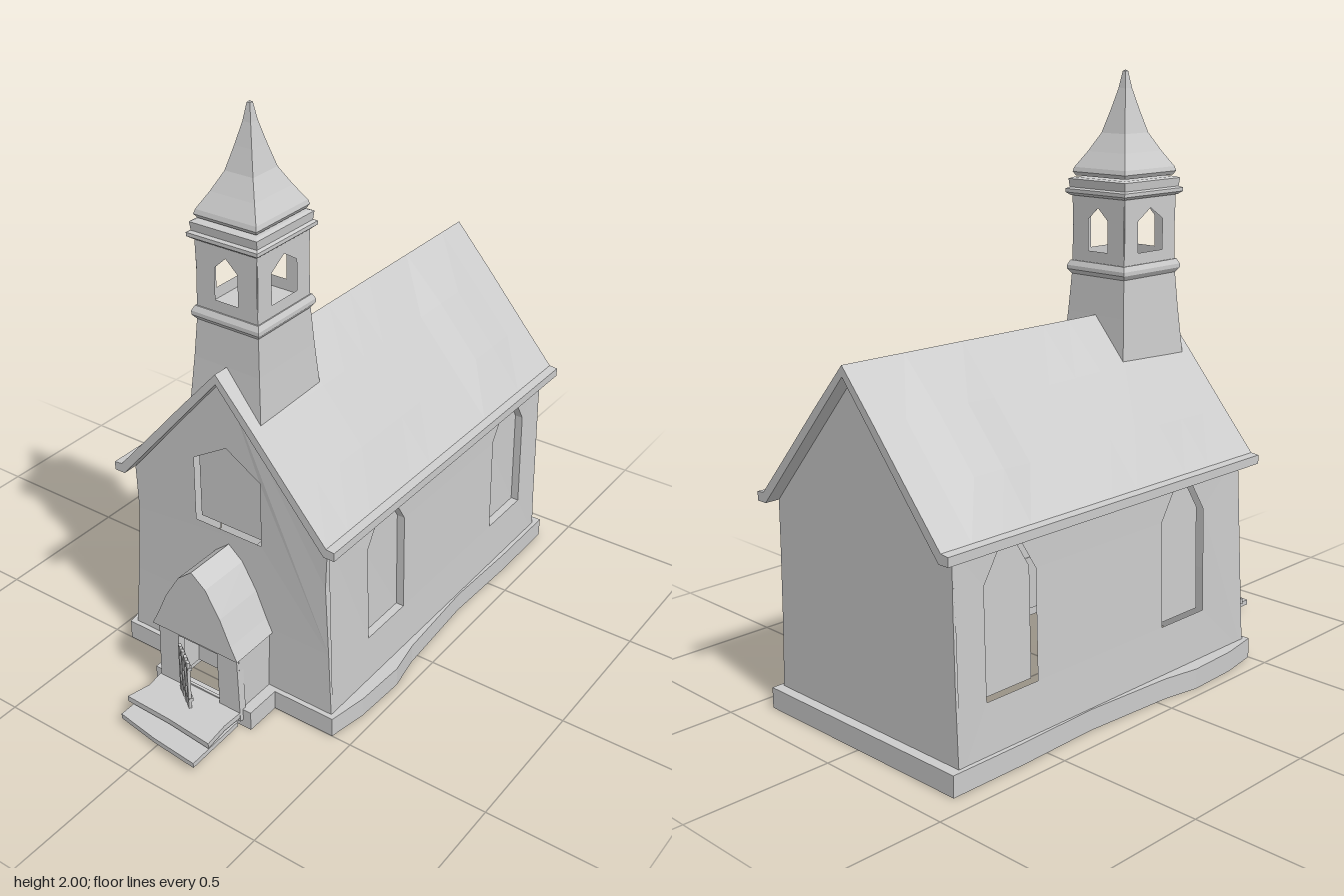
import * as THREE from 'three';

const solid = new THREE.MeshStandardMaterial({ color: 0xcccccc, flatShading: true });
const thin = new THREE.MeshStandardMaterial({ color: 0xcccccc, flatShading: true, side: THREE.DoubleSide });

const poly = (pts) => new THREE.Shape(pts.map(([x, y]) => new THREE.Vector2(x, y)));
// Right half of an outline, top to bottom, completed by its mirror image
const mirrored = (half) => [...half, ...half.filter(([x]) => x !== 0).map(([x, y]) => [-x, y]).reverse()];

function extrude(pts, depth, holes = [], steps = 1) {
  const shape = poly(pts);
  shape.holes = holes.map(poly);
  return new THREE.ExtrudeGeometry(shape, { depth, steps, bevelEnabled: false });
}

// Slab with an outline in plan (x, z), from height y0 to y1
function planSlab(pts, y0, y1, holes = []) {
  const flip = (list) => list.map(([x, z]) => [x, -z]);
  return extrude(flip(pts), y1 - y0, holes.map(flip)).rotateX(-Math.PI / 2).translate(0, y0, 0);
}

function moveVertices(geo, rule) {
  const p = geo.attributes.position;
  const v = new THREE.Vector3();
  for (let i = 0; i < p.count; i++) {
    rule(v.fromBufferAttribute(p, i));
    p.setXYZ(i, v.x, v.y, v.z);
  }
  geo.computeVertexNormals();
  return geo;
}

// Crooked walls: flared feet, pinched front corners
const warp = (geo) => moveVertices(geo, (v) => {
  const foot = Math.max(0, 1 - v.y / 0.7) ** 2;
  const pinch = v.z > 0.4 && Math.abs(v.x) > 0.3 ? Math.max(0, 1 - Math.abs(v.y - 0.55) / 0.45) : 0;
  v.x *= 1 + 0.045 * foot - 0.05 * pinch;
  if (v.z > 0.4) v.z += 0.015 * foot;
});

// Square tower section turned from a [half width, height] profile
function squareLathe(profile) {
  const pts = profile.map(([r, y]) => new THREE.Vector2(r * Math.SQRT2, y));
  const geo = new THREE.LatheGeometry(pts, 4, Math.PI / 4).toNonIndexed();
  geo.computeVertexNormals();
  return geo.scale(1, 1, 1.12);
}

export function createModel() {
  const model = new THREE.Group();
  const add = (name, geo, mat = solid, parent = model) => {
    const mesh = new THREE.Mesh(geo, mat);
    mesh.name = name;
    parent.add(mesh);
    return mesh;
  };

  // Foundation ring, bulging beside the tower and stepping out round the porch
  add('foundation', planSlab(
    mirrored([[0.2, 0.63], [0.2, 0.5], [0.43, 0.5], [0.455, 0.36], [0.463, 0.17], [0.44, 0.04],
      [0.42, -0.3], [0.43, -0.6], [0.43, -0.885]]), 0, 0.07,
    [mirrored([[0.15, 0.62], [0.15, 0.45], [0.39, 0.45], [0.39, -0.82]])]));

  // Gable walls
  const t = 0.03;
  const gable = mirrored([[0, 1.17], [0.4, 0.71], [0.4, 0.55], [0.4, 0.3], [0.4, 0.03]]);
  const frontWindow = mirrored([[0, 0.92], [0.132, 0.84], [0.132, 0.605]]);
  add('frontWall', warp(extrude(gable, t, [frontWindow]).translate(0, 0, 0.44)));
  add('frontWindowPane', new THREE.ShapeGeometry(poly(frontWindow)).translate(0, 0, 0.443), thin);
  add('backWall', warp(extrude(gable, t).translate(0, 0, -0.85)));

  // Side walls with two recessed pointed windows each
  const sideWindow = (z) => mirrored([[0.02, 0.7], [0.045, 0.69], [0.11, 0.59], [0.11, 0.235]])
    .map(([a, y]) => [a * 0.96 + z, y]);
  const windows = [sideWindow(0.16), sideWindow(-0.625)];
  const sideOutline = [[0.465, 0.73], [0.465, 0.55], [0.465, 0.3], [0.465, 0.03],
    [-0.845, 0.03], [-0.845, 0.3], [-0.845, 0.55], [-0.845, 0.73]];
  for (const s of [1, -1]) {
    const side = s > 0 ? 'left' : 'right';
    const turn = (pts) => pts.map(([z, y]) => [-s * z, y]);
    const place = (geo, x) => warp(geo.rotateY(s * Math.PI / 2).translate(s * x, 0, 0));
    add(side + 'Wall', place(extrude(turn(sideOutline), t, windows.map(turn)), 0.37));
    for (const w of windows) {
      add(side + 'WindowPane', place(new THREE.ShapeGeometry(poly(turn(w))), 0.372), thin);
    }
  }

  // Sagging gable roof with a hump near the back of each slope
  const outer = [[0, 1.2], [0.14, 1.043], [0.29, 0.87], [0.41, 0.733], [0.44, 0.73]];
  const inner = [[0.44, 0.7], [0.4, 0.7], [0, 1.165]];
  const roofHalf = [...outer, ...inner];
  const roofPts = [...roofHalf, ...roofHalf.slice(1, -1).map(([x, y]) => [-x, y]).reverse()];
  const roof = extrude(roofPts, 1.41, [], 12).translate(0, 0, -0.9);
  add('roof', moveVertices(roof, (v) => {
    const ax = Math.abs(v.x);
    if (ax < 0.1 || ax > 0.32 || v.z > 0.5 || v.z < -0.89) return;
    const hump = 0.016 * Math.exp(-(((v.z + 0.6) / 0.09) ** 2));
    const swell = 0.01 * Math.exp(-(((v.z - 0.1) / 0.25) ** 2));
    v.x += Math.sign(v.x) * (hump + swell) * 0.7;
    v.y += (hump + swell) * 0.7;
  }));

  // Porch: doorway wall, side walls and pointed roof
  const porch = new THREE.Group();
  porch.name = 'porch';
  model.add(porch);
  add('porchFront', extrude(
    [[-0.165, 0.03], [-0.085, 0.03], [-0.08, 0.265], [0.08, 0.265], [0.085, 0.03],
      [0.17, 0.03], [0.16, 0.29], [-0.16, 0.29]], 0.03).translate(0, 0, 0.615), solid, porch);
  for (const s of [1, -1]) {
    add('porchSide', new THREE.BoxGeometry(0.025, 0.26, 0.17).translate(s * 0.15, 0.16, 0.55), solid, porch);
  }
  add('porchRoof', extrude(
    mirrored([[0, 0.56], [0.055, 0.515], [0.11, 0.425], [0.15, 0.335], [0.175, 0.285]]), 0.2)
    .translate(0, 0, 0.46), solid, porch);

  // Crooked steps
  add('upperStep', planSlab([[-0.175, 0.6], [0.17, 0.6], [0.165, 0.72], [0.175, 0.815], [0, 0.8],
    [-0.18, 0.795], [-0.16, 0.71]], 0.045, 0.065), solid, porch);
  add('lowerStep', planSlab([[-0.16, 0.66], [0.17, 0.66], [0.175, 0.89], [0, 0.875], [-0.16, 0.85]],
    0.022, 0.04), solid, porch);

  // Slatted gate standing half open
  const gate = new THREE.Group();
  gate.name = 'gate';
  gate.position.set(-0.02, 0, 0.69);
  gate.rotation.y = -0.6;
  porch.add(gate);
  for (let i = 0; i < 4; i++) {
    add('gateSlat', new THREE.BoxGeometry(0.016, 0.185, 0.01).translate(-0.045 + i * 0.03, 0.158, 0), solid, gate);
  }
  for (const y of [0.1, 0.225]) {
    add('gateRail', new THREE.BoxGeometry(0.11, 0.012, 0.014).translate(0, y, -0.004), solid, gate);
  }

  // Bell tower
  const tower = new THREE.Group();
  tower.name = 'bellTower';
  tower.position.z = 0.313;
  model.add(tower);
  add('towerBase', squareLathe([[0, 1.0], [0.14, 1.0], [0.136, 1.06], [0.125, 1.2], [0.116, 1.34]]), solid, tower);
  add('lowerCornice', squareLathe([[0, 1.325], [0.116, 1.325], [0.128, 1.342], [0.128, 1.355],
    [0.12, 1.372], [0, 1.372]]), solid, tower);

  // Belfry walls with pointed openings on all four sides
  const belfryWall = (hw, open) => extrude(
    mirrored([[hw, 1.61], [hw - 0.004, 1.49], [hw, 1.36]]), 0.022,
    [mirrored([[0, 1.555], [open, 1.515], [open, 1.41]])]);
  for (let i = 0; i < 4; i++) {
    const sideways = i % 2 === 1;
    const geo = sideways ? belfryWall(0.13, 0.062) : belfryWall(0.116, 0.043);
    geo.translate(0, 0, (sideways ? 0.116 : 0.13) - 0.022).rotateY(i * Math.PI / 2);
    add('belfryWall', geo, solid, tower);
  }
  add('upperCornice', squareLathe([[0, 1.59], [0.12, 1.59], [0.132, 1.6], [0.132, 1.612], [0.122, 1.617],
    [0.125, 1.645], [0.113, 1.65], [0, 1.65]]), solid, tower);
  add('spire', squareLathe([[0, 1.648], [0.108, 1.655], [0.116, 1.668], [0.112, 1.683], [0.082, 1.735],
    [0.052, 1.795], [0.032, 1.87], [0.015, 1.94], [0.006, 1.995], [0, 2.0]]), solid, tower);

  return model;
}
